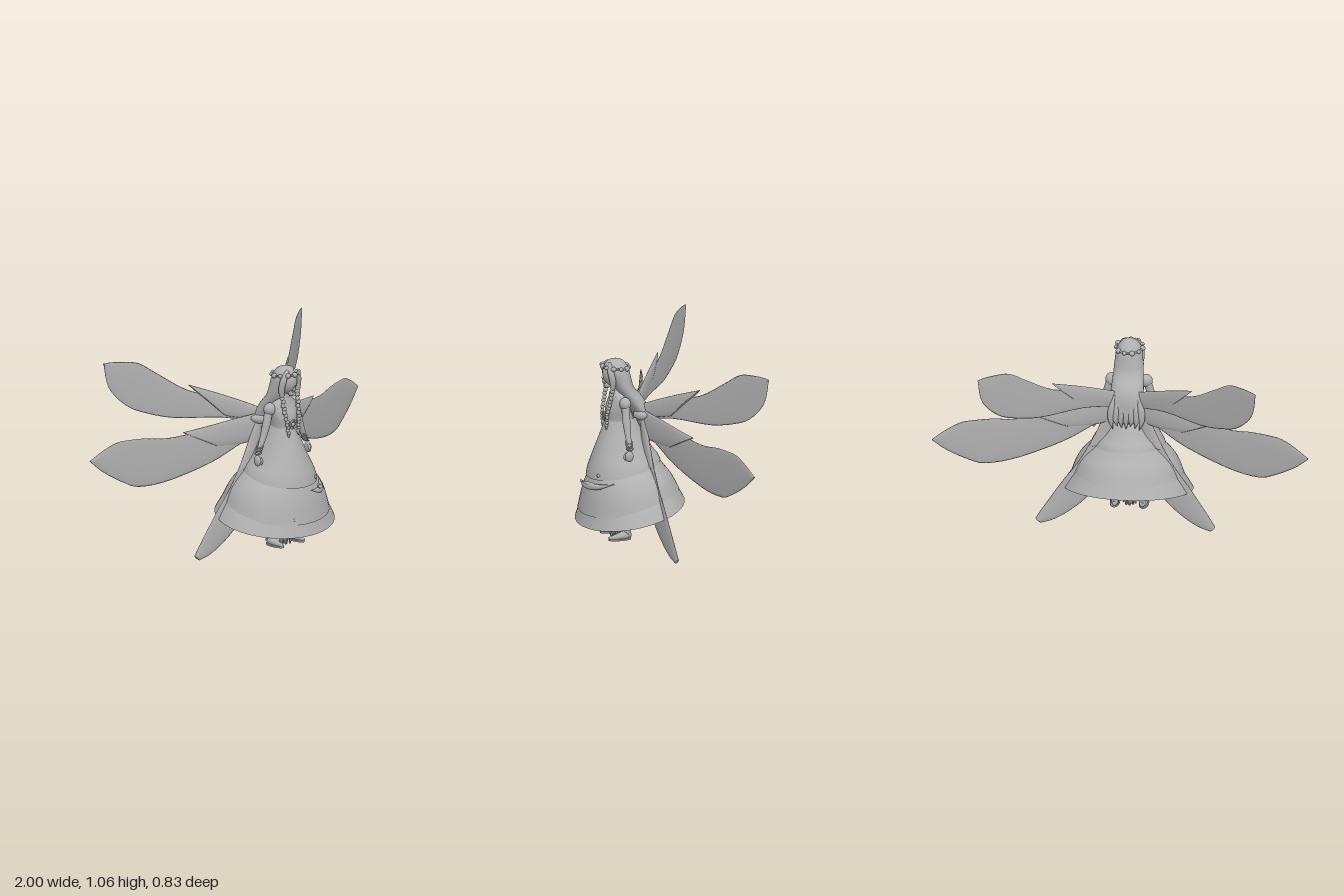
import * as THREE from 'three';

const V = (x, y, z) => new THREE.Vector3(x, y, z);

// Skin a list of closed rings (equal point counts) with smooth normals
function loft(rings, cap = false) {
  const n = rings[0].length, pos = [], idx = [];
  rings.forEach(r => r.forEach(p => pos.push(p.x, p.y, p.z)));
  for (let i = 0; i < rings.length - 1; i++) {
    for (let j = 0; j < n; j++) {
      const a = i * n + j, b = i * n + (j + 1) % n, c = a + n, d = b + n;
      idx.push(a, b, c, b, d, c);
    }
  }
  if (cap) {
    const last = (rings.length - 1) * n;
    for (let j = 1; j < n - 1; j++) {
      idx.push(0, j + 1, j, last, last + j, last + j + 1);
    }
  }
  const g = new THREE.BufferGeometry();
  g.setAttribute('position', new THREE.Float32BufferAttribute(pos, 3));
  g.setIndex(idx);
  g.computeVertexNormals();
  return g;
}

// Smoothly resample rows of numbers
function smooth(rows, steps) {
  const out = [], at = i => rows[Math.max(0, Math.min(rows.length - 1, i))];
  for (let s = 0; s <= steps; s++) {
    const f = s / steps * (rows.length - 1), i = Math.min(Math.floor(f), rows.length - 2), t = f - i;
    out.push(rows[0].map((_, k) => {
      const p = at(i - 1)[k], a = at(i)[k], b = at(i + 1)[k], q = at(i + 2)[k];
      return a + 0.5 * t * (b - p + t * (2 * p - 5 * a + 4 * b - q + t * (3 * (a - b) + q - p)));
    }));
  }
  return out;
}

const turn = (n, f) => Array.from({ length: n }, (_, j) => f(j / n * Math.PI * 2));

// Rows [yFront, yBack, zFront, zBack, halfWidth], listed top to bottom
function gown(rows, steps = 16) {
  return loft(smooth(rows, steps).map(([yf, yb, zf, zb, rx]) => turn(48, a => {
    const m = (1 + Math.cos(a)) / 2;
    return V(rx * Math.sin(a), yb + (yf - yb) * m, zb + (zf - zb) * m);
  })).reverse());
}

// Rows [y, z, halfWidth, halfDepth], listed top to bottom
function body(rows, steps = 24) {
  return loft(smooth(rows, steps).map(([y, z, rx, rz]) =>
    turn(32, a => V(rx * Math.sin(a), y, z + rz * Math.cos(a)))).reverse(), true);
}

// Tapered tube through points, one radius per point
function limb(points, radii, sides = 12, steps = 16) {
  const curve = new THREE.CatmullRomCurve3(points.map(p => V(...p)));
  const fr = curve.computeFrenetFrames(steps), rr = smooth(radii.map(r => [r]), steps);
  return loft(rr.map(([r], i) => {
    const c = curve.getPoint(i / steps);
    return turn(sides, a => c.clone()
      .addScaledVector(fr.normals[i], Math.cos(a) * r)
      .addScaledVector(fr.binormals[i], Math.sin(a) * r));
  }), true);
}

// Thin lens-section wing: rows [x1, y1, x2, y2] join both edges, z follows a slope
function wing(rows, x0, z0, slope, thick, steps = 28) {
  return loft(smooth(rows, steps).map(([x1, y1, x2, y2]) => turn(20, a => {
    const m = (1 + Math.cos(a)) / 2, x = x1 + (x2 - x1) * m;
    return V(x, y1 + (y2 - y1) * m, z0 + slope * (x - x0) + Math.sin(a) * thick);
  })), true);
}

export function createModel() {
  const model = new THREE.Group();
  const grey = new THREE.MeshStandardMaterial({ color: 0xb0b0b0, side: THREE.DoubleSide });
  grey.name = 'plain grey';
  const add = (name, geo, x = 0, y = 0, z = 0, parent = model) => {
    const m = new THREE.Mesh(geo, grey);
    m.name = name;
    m.position.set(x, y, z);
    parent.add(m);
    return m;
  };
  const ball = (name, r, x, y, z, s = [1, 1, 1], parent = model) => {
    const m = add(name, new THREE.SphereGeometry(r, 20, 14), x, y, z, parent);
    m.scale.set(...s);
    return m;
  };

  // Dress
  add('bodice', body([[.885, .205, .024, .024], [.85, .2, .028, .027], [.835, .195, .055, .035],
    [.805, .19, .085, .048], [.75, .195, .08, .064], [.69, .185, .07, .075], [.65, .18, .08, .085]]));
  add('overskirt', gown([[.70, .70, .258, .10, .068], [.62, .62, .287, .06, .10], [.53, .53, .32, .01, .142],
    [.44, .49, .35, -.02, .183], [.385, .465, .362, -.032, .2]]));
  add('middleSkirt', gown([[.42, .49, .335, -.01, .17], [.36, .43, .358, -.05, .235],
    [.29, .38, .38, -.09, .275], [.195, .305, .4, -.13, .305]]));
  add('lowerSkirt', gown([[.26, .36, .375, -.1, .27], [.19, .3, .393, -.13, .315], [.13, .25, .412, -.157, .348]]));

  // Folded cloth scrap and beads on the skirt front
  add('skirtBow', limb([[.0, .375, .4], [.06, .362, .395], [.12, .36, .35], [.185, .385, .27]], [.002, .016, .016, .002], 6));
  add('skirtBowPoint', limb([[.05, .38, .41], [.1, .365, .37], [.14, .35, .33]], [.002, .016, .003], 6));
  ball('skirtBead', .009, .1, .415, .332);
  ball('skirtBead', .009, -.1, .225, .372);

  // Head
  ball('head', .06, 0, .945, .215, [.88, 1.22, 1.05]);
  const nose = add('nose', new THREE.ConeGeometry(.009, .03, 10), 0, .915, .278);
  nose.rotation.x = .35;
  ball('lips', .009, 0, .892, .267, [1.2, .5, .8]);
  ball('chin', .018, 0, .882, .253);

  // Hair, falling behind the shoulders
  add('hair', body([[1.024, .207, .006, .006], [1.01, .207, .042, .043], [.97, .203, .068, .066],
    [.92, .185, .075, .06], [.86, .16, .08, .053], [.80, .115, .085, .058], [.74, .08, .09, .045],
    [.66, .06, .085, .03], [.61, .05, .06, .018]], 36));
  for (let i = 0; i < 7; i++) {
    const x = (i - 3) * .026;
    add('hairLock', limb([[x * .8, .76, .065], [x, .68, .048], [x * 1.05, .62, .04], [x * .9, .57 + .01 * (i % 3), .038]],
      [.012, .02, .015, .001], 8));
  }

  // Flower crown
  const crown = new THREE.Group();
  crown.name = 'flowerCrown';
  crown.position.set(0, .98, .207);
  crown.rotation.x = -.08;
  model.add(crown);
  const band = add('crownBand', new THREE.TorusGeometry(.07, .005, 8, 40), 0, 0, 0, crown);
  band.rotation.x = Math.PI / 2;
  for (let i = 0; i < 11; i++) {
    const a = i / 11 * Math.PI * 2;
    ball('crownFlower', i % 2 ? .011 : .014, .072 * Math.sin(a), 0, .072 * Math.cos(a), [1, 1, 1], crown);
  }

  // Chest medallion
  add('medallionRing', new THREE.TorusGeometry(.021, .005, 8, 28), 0, .71, .268);
  ball('medallionGem', .012, 0, .71, .266, [1, 1, .6]);

  // Mirrored parts
  for (const side of [1, -1]) {
    const half = new THREE.Group();
    half.name = side > 0 ? 'leftSide' : 'rightSide';
    half.scale.x = side;
    model.add(half);
    const part = (name, geo, x, y, z) => add(name, geo, x, y, z, half);

    // Face-framing lock and braid
    part('sideLock', limb([[.02, 1.005, .245], [.05, .97, .25], [.06, .91, .24], [.055, .85, .24]], [.01, .017, .017, .01]));
    const braid = new THREE.CatmullRomCurve3([V(.057, .88, .24), V(.053, .8, .252), V(.045, .73, .266), V(.036, .67, .268)]);
    for (let i = 0; i < 13; i++) {
      const p = braid.getPoint(i / 12);
      ball('braidKnot', .0135 - i * .0003, p.x + (i % 2 ? .003 : -.003), p.y, p.z, [1, .95, .9], half);
    }
    part('braidTip', new THREE.ConeGeometry(.009, .03, 10), .035, .65, .268).rotation.x = Math.PI;

    // Arm
    ball('puffSleeve', .034, .092, .795, .182, [1, 1.05, .9], half);
    part('arm', limb([[.095, .8, .18], [.117, .72, .184], [.14, .655, .183], [.178, .57, .183]], [.022, .022, .018, .012]));
    [.605, .59, .572].forEach(y => {
      const b = part('bracelet', new THREE.TorusGeometry(.017, .004, 8, 24), .178 - (y - .57) * .45, y, .183);
      b.rotation.set(Math.PI / 2, -.4, 0);
    });
    ball('hand', .024, .188, .532, .188, [.6, 1.25, .95], half);
    part('thumb', limb([[.18, .55, .2], [.178, .53, .212], [.182, .512, .21]], [.007, .007, .004], 8, 8));

    // Leg and shoe
    part('leg', limb([[.055, .5, .17], [.062, .33, .175], [.068, .2, .165], [.074, .065, .165]], [.05, .04, .03, .019]));
    part('shoe', limb([[.073, .068, .145], [.076, .068, .18], [.079, .062, .225], [.081, .058, .268]], [.012, .023, .016, .008]));
    part('shoeSole', new THREE.CylinderGeometry(.027, .027, .008, 24), .077, .049, .207).scale.set(1, 1, 2.3);

    // Upper wing
    part('upperWing', wing([[.06, .69, .06, .77], [.22, .73, .2, .83], [.43, .74, .37, .89], [.57, .78, .5, .985],
      [.64, .82, .585, 1.05], [.70, .89, .66, 1.063], [.727, .955, .71, 1.063], [.738, 1.05, .74, 1.058]], .075, .06, -.707, .005));
    part('upperWingSheath', wing([[.06, .69, .06, .78], [.13, .72, .15, .825], [.19, .735, .26, .875], [.215, .745, .374, .922]],
      .075, .062, -.69, .011));

    // Middle wing
    part('middleWing', wing([[.07, .63, .07, .74], [.17, .59, .2, .72], [.33, .51, .41, .69], [.57, .44, .57, .677],
      [.73, .43, .69, .692], [.81, .462, .8, .695], [.89, .51, .86, .688], [.95, .555, .93, .655], [1, .604, 1, .608]],
      .085, .07, -.35, .006));
    part('middleWingSheath', wing([[.07, .62, .07, .75], [.13, .595, .2, .735], [.22, .59, .34, .715], [.29, .592, .49, .697]],
      .085, .07, -.35, .012));

    // Lower wing
    part('lowerWing', wing([[.05, .7, .09, .71], [.06, .5, .16, .54], [.11, .31, .25, .37], [.2, .16, .33, .26],
      [.3, .07, .41, .14], [.385, .02, .455, .07], [.45, .002, .478, .03]], .085, .075, -.17, .008));
    part('lowerWingSheath', wing([[.05, .72, .09, .72], [.065, .58, .135, .6], [.085, .48, .2, .45]], .085, .075, -.17, .014));
    part('wingJoint', limb([[.04, .72, .11], [.075, .72, .085], [.11, .725, .06]], [.02, .028, .012]));
  }

  // Leafy shoots between the feet
  for (let i = 0; i < 14; i++) {
    const a = i * 2.4, r = .012 + .02 * (i % 3) / 2, reach = .03 + .05 * ((i * 7) % 5) / 5;
    const x = Math.sin(a), z = Math.cos(a), h = .12 + .05 * (i % 4) / 3;
    add('shoot', limb([[x * r, .046, .2 + z * r], [x * r * 1.3, .046 + h * .5, .2 + z * (r + reach * .4)],
      [x * r * 1.6, .046 + h * .75, .2 + z * (r + reach)]], [.005, .007, .001], 6, 8));
  }
  return model;
}
